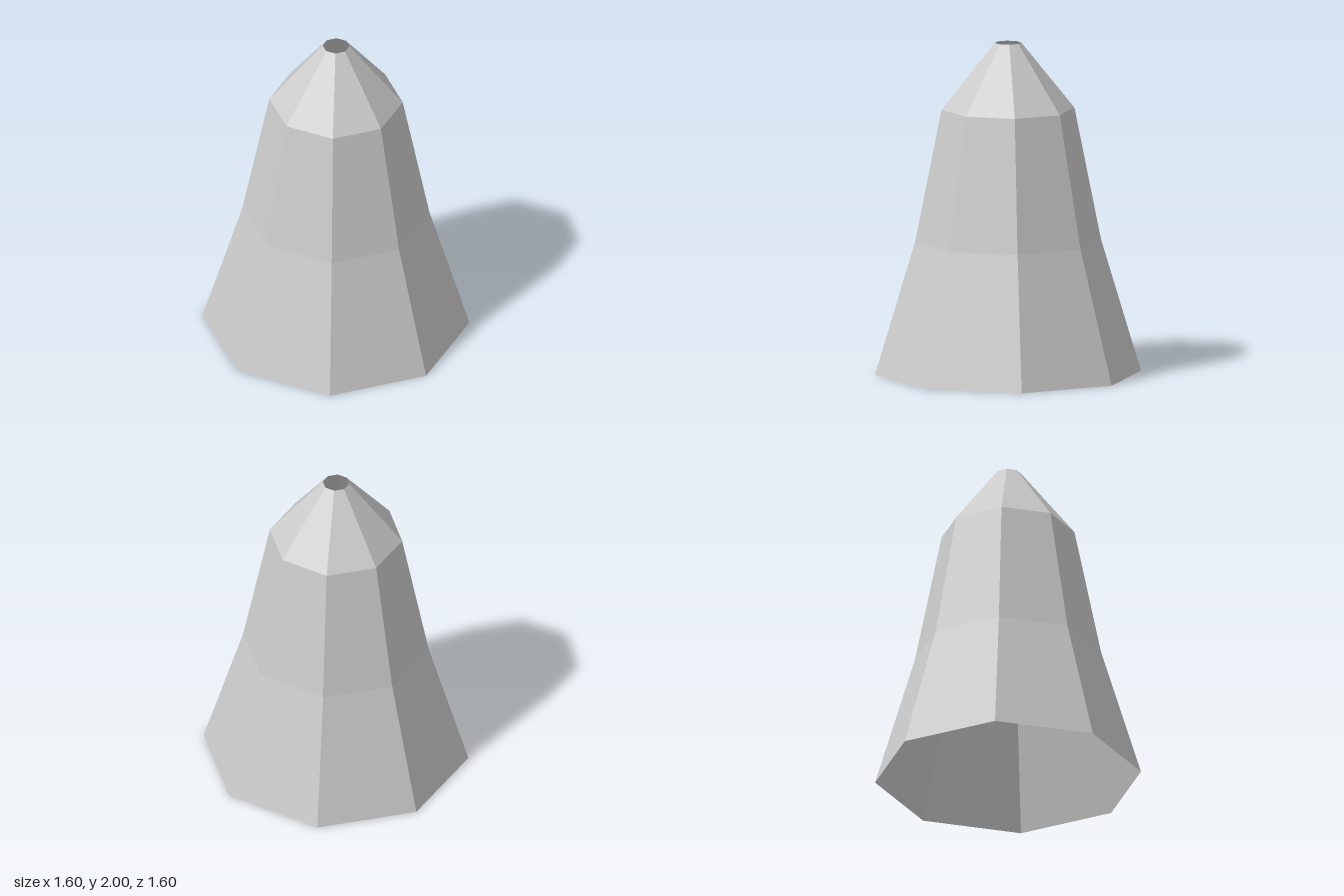
import * as THREE from 'three';

const SIDES = 8;

export function createModel() {
  const model = new THREE.Group();
  model.name = 'taperedShell';

  const grey = new THREE.MeshStandardMaterial({ color: 0xcccccc, flatShading: true, side: THREE.DoubleSide });
  grey.name = 'light grey';

  // Flared skirt, steeper body and sloping cap, open at both ends
  const profile = [
    [0.8, 0],
    [0.56, 0.8],
    [0.4, 1.6],
    [0.08, 2],
  ].map(([r, y]) => new THREE.Vector2(r, y));

  // Each tier is one ring of flat panels between neighbouring profile points
  ['skirt', 'body', 'cap'].forEach((name, i) => {
    const geometry = new THREE.LatheGeometry([profile[i], profile[i + 1]], SIDES).toNonIndexed();
    geometry.computeVertexNormals();
    const tier = new THREE.Mesh(geometry, grey);
    tier.name = name;
    model.add(tier);
  });

  return model;
}
